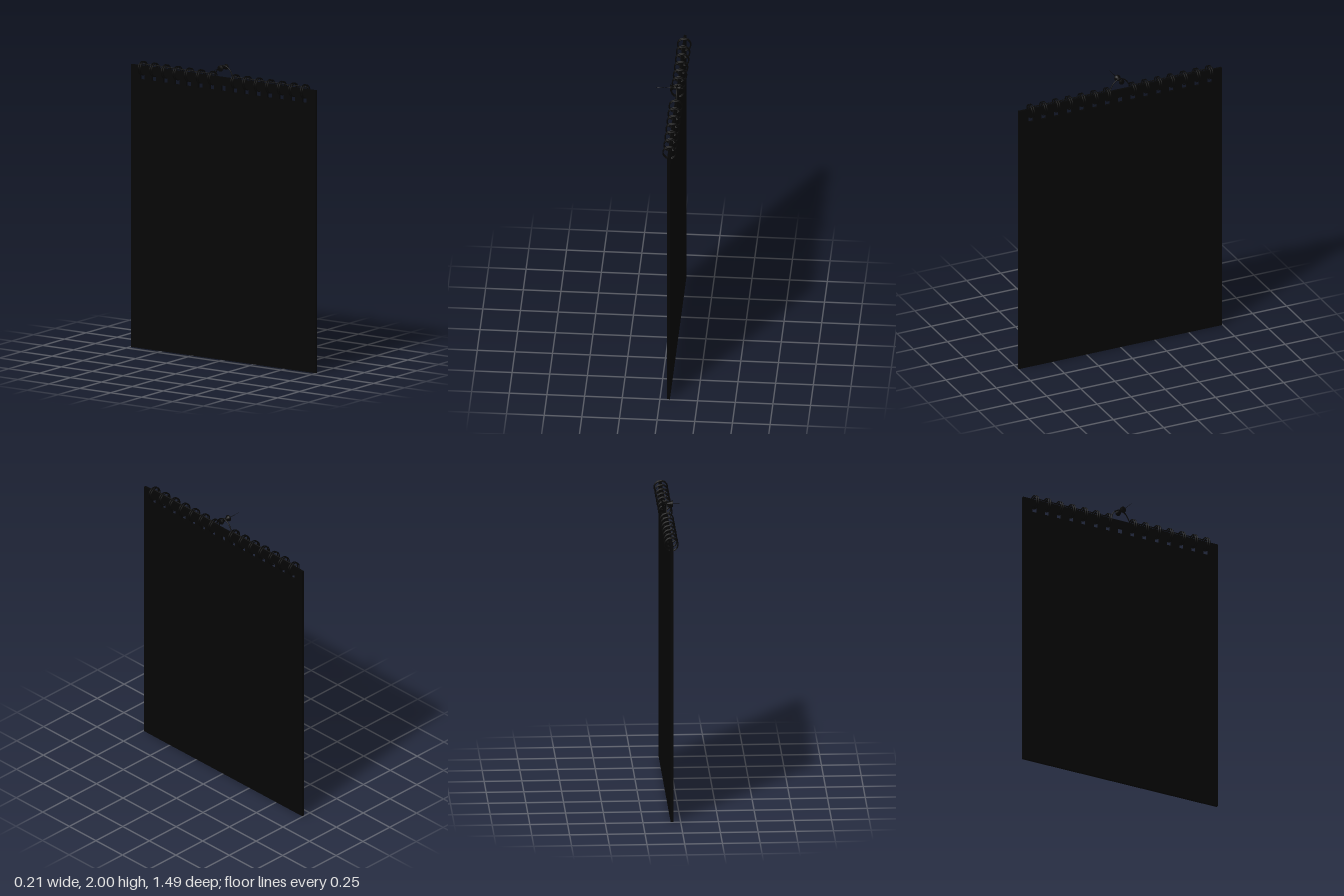
import * as THREE from 'three';

const CX = 0.057;            // plane of the pad
const RING_Y = 1.894;        // centre height of the binding rings
const PITCH = 0.0936;        // spacing of holes and rings
const HALF = 7;              // holes on each side of the middle one

export function createModel() {
  const group = new THREE.Group();
  const black = new THREE.MeshStandardMaterial({ color: 0x050505 });

  const add = (name, geometry, parent = group) => {
    const mesh = new THREE.Mesh(geometry, black);
    mesh.name = name;
    parent.add(mesh);
    return mesh;
  };

  // Pad of pages with a row of square punched holes
  const W = 0.745, H = 1.911, T = 0.018;
  const page = new THREE.Shape();
  page.moveTo(-W, 0).lineTo(W, 0).lineTo(W, H).lineTo(-W, H).closePath();
  const h = 0.019;
  for (let i = -HALF; i <= HALF; i++) {
    const c = i * PITCH, y = 1.836;
    const hole = new THREE.Path();
    hole.moveTo(c - h, y - h).lineTo(c - h, y + h).lineTo(c + h, y + h).lineTo(c + h, y - h).closePath();
    page.holes.push(hole);
  }
  const padGeometry = new THREE.ExtrudeGeometry(page, { depth: T, bevelEnabled: false });
  padGeometry.translate(0, 0, -T / 2).rotateY(Math.PI / 2);
  add('pagePad', padGeometry).position.x = CX;

  // Twin wire rings through every hole but the middle one
  const rings = new THREE.Group();
  rings.name = 'bindingRings';
  group.add(rings);
  const ringGeometry = new THREE.TorusGeometry(0.044, 0.004, 8, 32);
  for (let i = -HALF; i <= HALF; i++) {
    if (i === 0) continue;
    for (const s of [-1, 1]) {
      add('bindingRing', ringGeometry, rings).position.set(CX, RING_Y, i * PITCH + s * 0.0075);
    }
  }

  // Hanger wire: straight runs under the rings, arched in the middle
  const half = [[0.68, 1.923], [0.085, 1.923], [0.071, 1.924], [0.064, 1.937], [0.048, 1.964], [0.025, 1.982]];
  const points = [
    ...half.map(([z, y]) => new THREE.Vector3(CX, y, z)),
    new THREE.Vector3(CX, 1.989, 0),
    ...half.slice().reverse().map(([z, y]) => new THREE.Vector3(CX, y, -z)),
  ];
  const wire = new THREE.CatmullRomCurve3(points, false, 'centripetal');
  add('hangerWire', new THREE.TubeGeometry(wire, 300, 0.0038, 8));

  // Push pin holding the hanger: waisted head and a thin needle along -x
  const pin = new THREE.Group();
  pin.name = 'pushPin';
  pin.position.set(0, 1.977, 0);
  group.add(pin);
  const profile = [[0, 0.012], [0.021, 0.012], [0.022, 0.018], [0.018, 0.024], [0.011, 0.036],
    [0.0085, 0.052], [0.011, 0.067], [0.018, 0.078], [0.019, 0.085], [0, 0.087]];
  const head = new THREE.LatheGeometry(profile.map(([r, x]) => new THREE.Vector2(r, x)), 24);
  add('pinHead', head.rotateZ(-Math.PI / 2), pin);
  const needle = new THREE.CylinderGeometry(0.0022, 0.0003, 0.12, 8);
  needle.rotateZ(-Math.PI / 2);
  add('pinNeedle', needle, pin).position.x = -0.045;

  return group;
}
